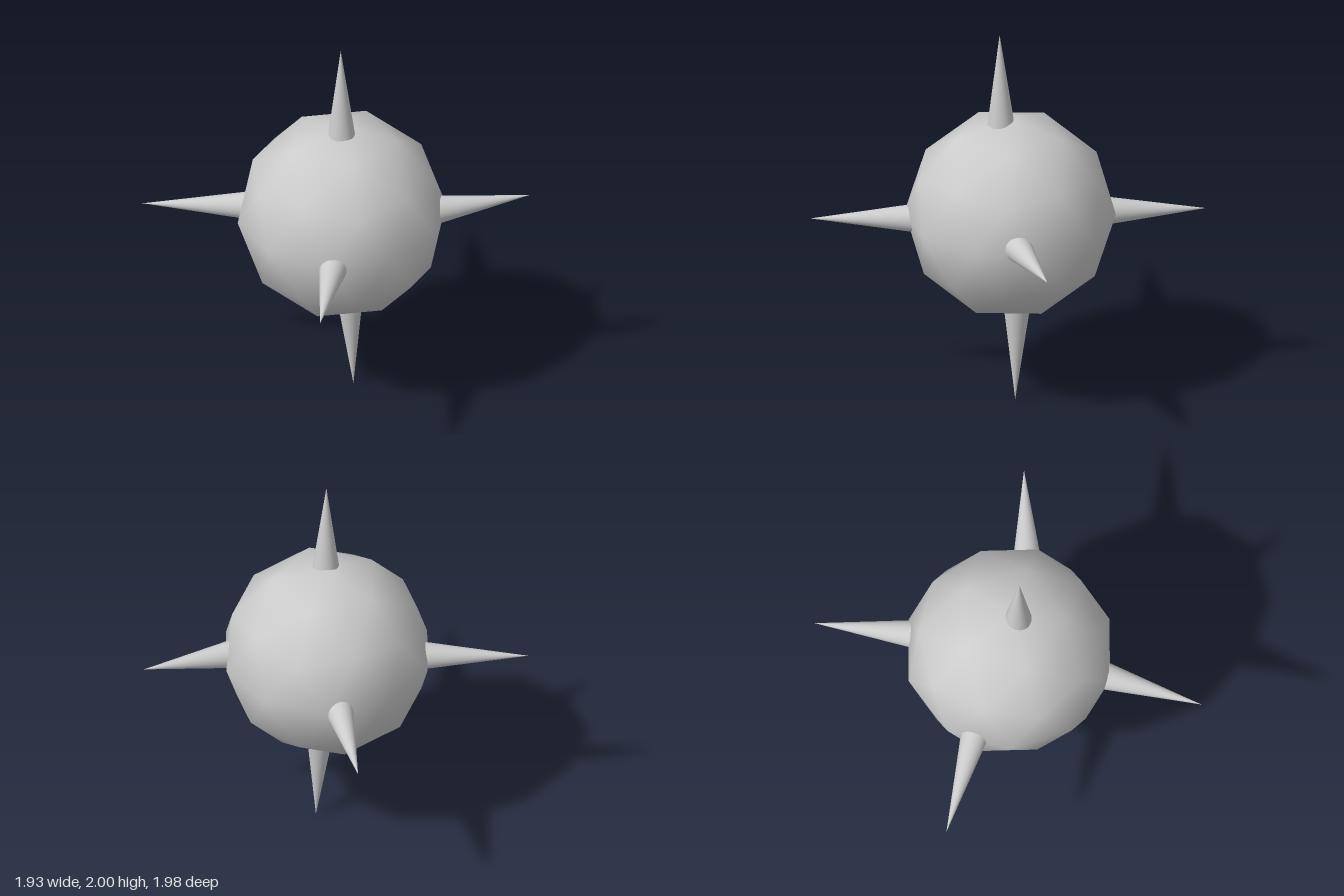
import * as THREE from 'three';

const material = new THREE.MeshStandardMaterial({ color: 0xcccccc });

// Faceted ball: icosahedron split once, one corner at the top and an upper corner towards +x
function createBody() {
  const geometry = new THREE.IcosahedronGeometry(0.53, 1);
  geometry.rotateZ(-Math.atan(2 / (1 + Math.sqrt(5))));
  const body = new THREE.Mesh(geometry, material);
  body.name = 'body';
  body.position.set(0.04, 1.01, -0.013);
  return body;
}

// Cone whose axis passes through root (at the ball's surface) and ends at tip
function createSpike(name, root, tip) {
  const end = new THREE.Vector3(...tip);
  const axis = end.clone().sub(new THREE.Vector3(...root));
  const visible = axis.length();
  const length = visible + 0.06; // sunk into the ball
  const radius = 0.067 * length / visible;
  axis.normalize();

  const geometry = new THREE.ConeGeometry(radius, length, 32, 4);
  geometry.translate(0, -length / 2, 0); // tip at the origin
  const spike = new THREE.Mesh(geometry, material);
  spike.name = name;
  spike.position.copy(end);
  spike.quaternion.setFromUnitVectors(new THREE.Vector3(0, 1, 0), axis);
  return spike;
}

export function createModel() {
  const model = new THREE.Group();
  model.name = 'spikedBall';
  model.add(createBody());

  // Six slightly uneven spikes: name, root, tip
  const spikes = [
    ['topSpike', [0.045, 1.51, 0.033], [0.042, 2.0, 0.04]],
    ['bottomSpike', [0.075, 0.51, -0.048], [0.095, 0.0, -0.04]],
    ['leftSpike', [0.54, 1.04, -0.08], [0.96, 1.065, -0.23]],
    ['rightSpike', [-0.46, 1.0, -0.04], [-0.97, 0.98, -0.02]],
    ['frontSpike', [0.065, 0.985, 0.5], [0.07, 0.977, 0.99]],
    ['backSpike', [-0.025, 1.0, -0.52], [-0.11, 0.98, -0.99]],
  ];
  for (const [name, root, tip] of spikes) model.add(createSpike(name, root, tip));

  return model;
}
